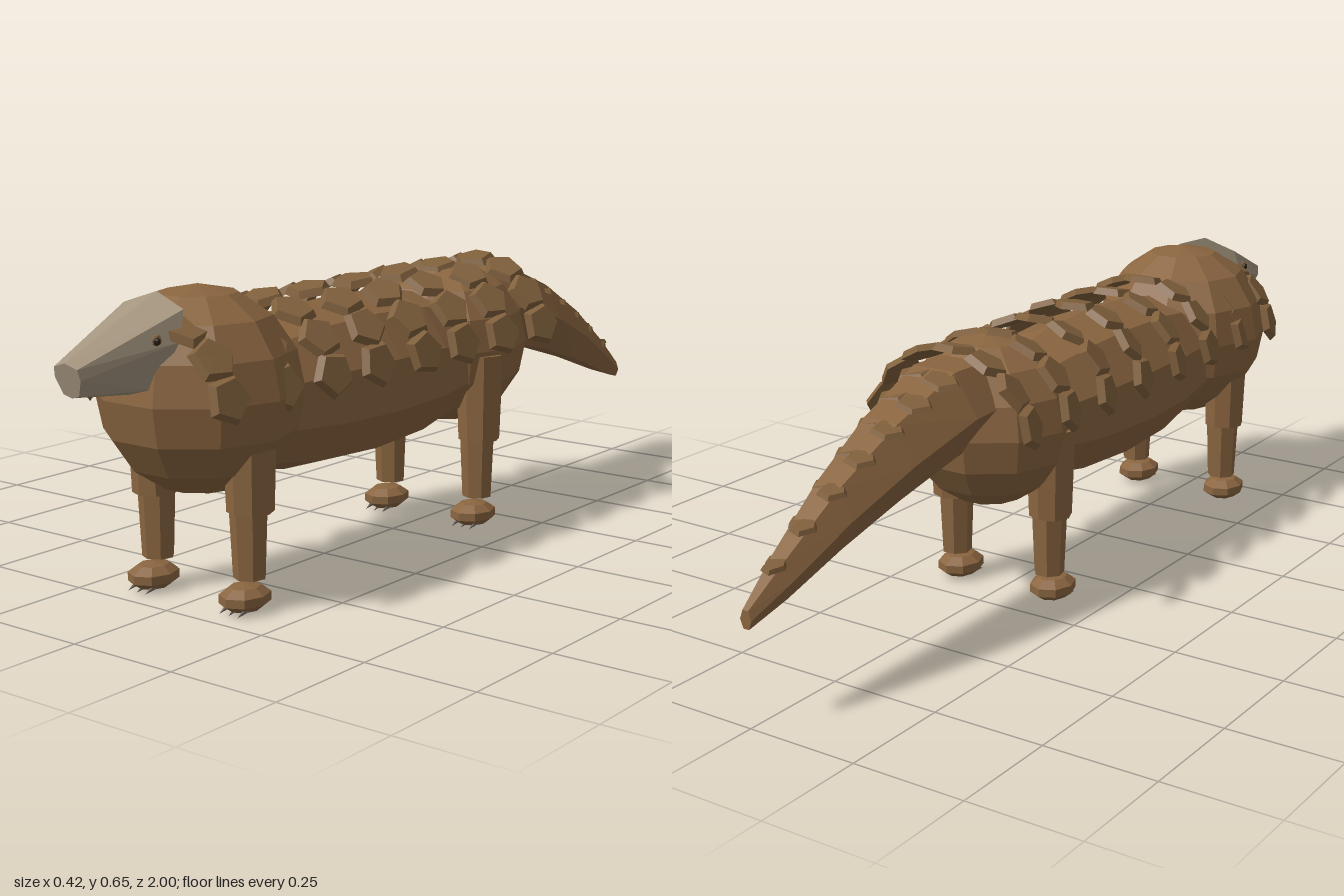
import * as THREE from 'three';

const makeMaterial = (name, color) => {
  const m = new THREE.MeshStandardMaterial({ color, flatShading: true });
  m.name = name;
  return m;
};

// Closed solid through rings of equal point count, ordered from back (-z) to front (+z)
function loft(rings) {
  const n = rings[0].length, index = [];
  for (let i = 0; i < rings.length - 1; i++) {
    for (let j = 0; j < n; j++) {
      const k = (j + 1) % n, a = i * n + j, b = i * n + k;
      index.push(a, b, b + n, a, b + n, a + n);
    }
  }
  const last = (rings.length - 1) * n;
  for (let j = 1; j < n - 1; j++) index.push(0, j + 1, j, last, last + j, last + j + 1);
  const g = new THREE.BufferGeometry();
  g.setAttribute('position', new THREE.Float32BufferAttribute(rings.flat(2), 3));
  g.setIndex(index);
  g.computeVertexNormals();
  return g;
}

export function createModel() {
  const model = new THREE.Group();
  model.name = 'scalyAnimal';
  const brown = makeMaterial('body brown', 0x8a6540);
  const scaleBrown = makeMaterial('scale brown', 0x80603c);
  const grey = makeMaterial('snout grey', 0xa3947e);
  const clawGrey = makeMaterial('claw grey', 0x6b625a);
  const dark = makeMaterial('eye dark', 0x2a2018);

  const add = (name, geometry, material, x = 0, y = 0, z = 0, parent = model) => {
    const mesh = new THREE.Mesh(geometry, material);
    mesh.name = name;
    mesh.position.set(x, y, z);
    parent.add(mesh);
    return mesh;
  };
  let seed = 7;
  const jitter = (amount) => {
    seed = (seed * 16807) % 2147483647;
    return (seed / 2147483647 - 0.5) * 2 * amount;
  };

  // Barrel, shoulders and hips
  const profile = [[0, -0.24], [0.09, -0.21], [0.145, -0.12], [0.172, 0.02], [0.182, 0.2],
    [0.174, 0.38], [0.15, 0.52], [0.09, 0.62], [0, 0.65]];
  const barrel = new THREE.LatheGeometry(profile.map(([r, z]) => new THREE.Vector2(r, z)), 10);
  add('barrel', barrel.rotateX(Math.PI / 2), brown, 0, 0.398, 0);
  add('shoulders', new THREE.SphereGeometry(0.212, 10, 8), brown, 0, 0.441, 0.64);
  add('hips', new THREE.SphereGeometry(0.19, 10, 8), brown, 0, 0.42, -0.205);

  // Tapered snout, sheared at the back
  const outline = [[0, 1], [-0.9, 0.72], [-1, 0.1], [-0.6, -0.85], [0, -1], [0.6, -0.85], [1, 0.1], [0.9, 0.72]];
  const headRing = (y, w, h, z, shear) =>
    outline.map(([px, py]) => [px * w, y + py * h, z - py * shear]);
  add('snout', loft([
    headRing(0.555, 0.088, 0.096, 0.79, 0.035),
    headRing(0.512, 0.034, 0.034, 0.992, -0.008),
  ]), grey);

  // Drooping tail
  const tailSections = [[-0.998, 0.23, 0.014, 0.02], [-0.9, 0.282, 0.036, 0.042], [-0.75, 0.36, 0.06, 0.066],
    [-0.58, 0.43, 0.085, 0.085], [-0.4, 0.485, 0.108, 0.096], [-0.3, 0.49, 0.11, 0.09]];
  const tailRing = ([z, y, w, h]) => Array.from({ length: 6 }, (_, i) => {
    const a = (i + 0.5) * Math.PI / 3;
    return [-Math.sin(a) * w, y + Math.cos(a) * h * 1.1, z];
  });
  add('tail', loft(tailSections.map(tailRing)), brown);

  // Rows of raised scales arched over the back
  const plate = new THREE.CylinderGeometry(0.042, 0.052, 0.016, 5);
  const scales = new THREE.Group();
  scales.name = 'backScales';
  model.add(scales);
  for (let row = 0; row < 8; row++) {
    const z = 0.758 - row * 0.155;
    for (let i = -3; i <= 3; i++) {
      const a = i * 0.435;
      const s = add('backScale', plate, scaleBrown,
        Math.sin(a) * 0.197, 0.412 + Math.cos(a) * 0.19, z + jitter(0.006), scales);
      s.rotation.set(0.2 + jitter(0.08), 0, -a, 'ZXY');
      s.rotation.y = jitter(0.6);
    }
  }

  // Wide scales lying across the tail
  const tailScales = new THREE.Group();
  tailScales.name = 'tailScales';
  model.add(tailScales);
  for (let i = 0; i < 7; i++) {
    const t = i / 6, z = -0.42 - t * 0.49;
    const top = 0.568 - t * 0.16 - t * t * 0.09;
    for (const side of [-1, 1]) {
      const s = add('tailScale', plate, scaleBrown,
        side * (0.04 - t * 0.03), top - 0.003, z + side * 0.012, tailScales);
      s.scale.set(0.95 - t * 0.55, 0.6, 0.8 - t * 0.2);
      s.rotation.set(-0.12, side * 0.2, -side * 0.15);
    }
  }

  // Legs, feet and claws
  const upper = new THREE.CylinderGeometry(0.055, 0.048, 0.2, 8);
  const lower = new THREE.CylinderGeometry(0.041, 0.034, 0.16, 7);
  const foot = new THREE.SphereGeometry(1, 8, 5).scale(0.051, 0.029, 0.061);
  const claw = new THREE.ConeGeometry(0.008, 0.035, 5).rotateX(Math.PI / 2 + 0.35);
  for (const [place, z] of [['front', 0.64], ['rear', -0.16]]) {
    for (const side of [-1, 1]) {
      const leg = new THREE.Group();
      leg.name = place + (side > 0 ? 'LeftLeg' : 'RightLeg');
      leg.position.set(side * 0.126, 0, z);
      model.add(leg);
      add('upperLeg', upper, brown, side * 0.004, 0.309, 0, leg);
      add('lowerLeg', lower, brown, 0, 0.152, 0, leg);
      add('foot', foot, brown, 0, 0.035, 0.016, leg);
      for (const i of [-1, 0, 1]) add('claw', claw, clawGrey, i * 0.024, 0.014, 0.05, leg);
    }
  }

  // Eyes with brown lids at the sides of the snout
  for (const side of [-1, 1]) {
    const lid = add('eyelid', new THREE.SphereGeometry(0.013, 7, 5), brown, side * 0.07, 0.571, 0.83);
    lid.scale.set(0.6, 1, 1);
    add('eye', new THREE.SphereGeometry(0.008, 7, 5), dark, side * 0.074, 0.571, 0.834);
  }
  return model;
}
